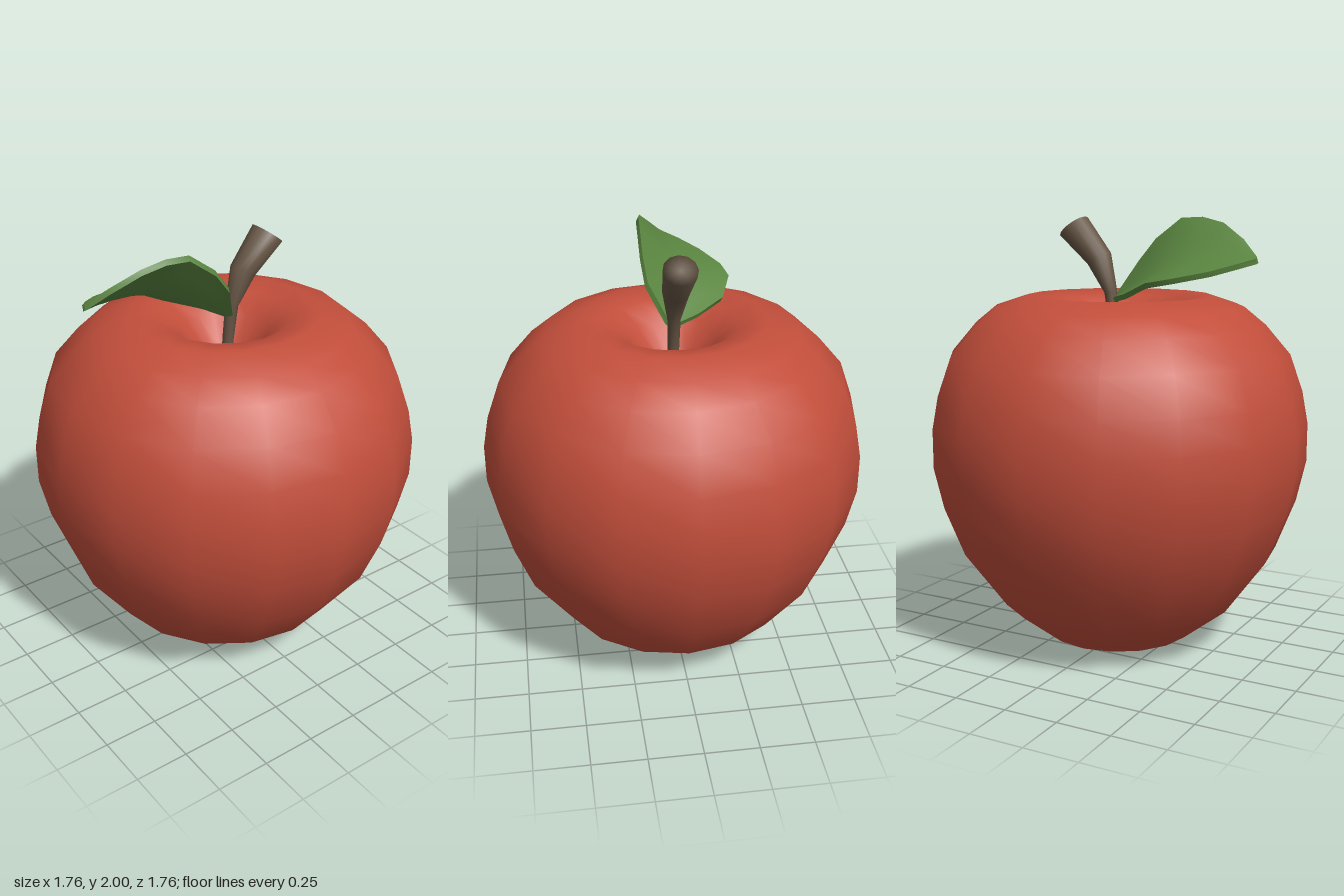
import * as THREE from 'three';
import { mergeVertices, toCreasedNormals } from 'three/addons/utils/BufferGeometryUtils.js';

const skin = new THREE.MeshStandardMaterial({ name: 'red skin', color: 0xc24e3b });
const bark = new THREE.MeshStandardMaterial({ name: 'brown stem', color: 0x655443 });
const green = new THREE.MeshStandardMaterial({ name: 'green leaf', color: 0x5a8540 });

// Closed skin over a list of equal-length loops, with a fan at both ends
function loft(rings) {
  const n = rings[0].length, last = rings.length - 1;
  const points = rings.flat(), index = [];
  const centre = (ring) => ring.reduce((s, p) => s.add(p), new THREE.Vector3()).divideScalar(n);
  points.push(centre(rings[0]), centre(rings[last]));
  const start = points.length - 2, end = points.length - 1;
  for (let j = 0; j < n; j++) {
    const k = (j + 1) % n;
    for (let i = 0; i < last; i++) {
      const a = i * n + j, b = i * n + k;
      index.push(a, a + n, b, b, a + n, b + n);
    }
    index.push(start, j, k, end, last * n + k, last * n + j);
  }
  const g = new THREE.BufferGeometry().setFromPoints(points);
  g.setIndex(index);
  g.computeVertexNormals();
  return g;
}

// Lathed body with a deep top dimple and a lobed base
function bodyGeometry() {
  const profile = [
    [0, 0.14], [0.06, 0.1], [0.14, 0.035], [0.24, 0], [0.35, 0.04], [0.555, 0.2],
    [0.745, 0.46], [0.835, 0.69], [0.878, 0.88], [0.878, 1.06], [0.85, 1.21],
    [0.79, 1.38], [0.675, 1.515], [0.575, 1.597], [0.425, 1.647], [0.3, 1.622],
    [0.2, 1.55], [0.1, 1.43], [0, 1.36],
  ].map(([r, y]) => new THREE.Vector2(r, y));
  let g = new THREE.LatheGeometry(profile, 16);
  g.deleteAttribute('uv');
  g.deleteAttribute('normal');
  g = mergeVertices(g);
  const p = g.attributes.position;
  for (let i = 0; i < p.count; i++) {
    const x = p.getX(i), y = p.getY(i), z = p.getZ(i), r = Math.hypot(x, z);
    if (y < 0.09 && r < 0.3) {
      const wave = 0.5 - 0.5 * Math.cos(5 * Math.atan2(x, z));
      p.setY(i, y + 0.045 * wave);
    }
  }
  g.computeVertexNormals();
  return g;
}

// Bent stem, widening to a tilted end: [y, z, radius, tilt]
function stemGeometry() {
  const rows = [
    [1.33, -0.02, 0.026, 0], [1.5, -0.025, 0.026, 0.05], [1.66, -0.045, 0.03, 0.25],
    [1.81, -0.105, 0.06, 0.5], [1.955, -0.24, 0.077, 0.65],
  ];
  return loft(rows.map(([y, z, r, tilt]) => Array.from({ length: 12 }, (_, j) => {
    const a = j / 12 * Math.PI * 2, s = r * Math.sin(a);
    return new THREE.Vector3(r * Math.cos(a), y + s * Math.sin(tilt), z + s * Math.cos(tilt));
  })));
}

// Cupped leaf, sampled across from left edge, through the midrib, to right edge
function leafGeometry() {
  // [left xyz, midrib xyz, right xyz]
  const rows = [
    [-0.03, 1.62, -0.01, 0, 1.62, -0.02, 0.03, 1.64, -0.025],
    [-0.12, 1.635, 0.04, -0.01, 1.66, 0.04, 0.11, 1.79, 0.05],
    [-0.25, 1.66, 0.16, -0.04, 1.73, 0.15, 0.122, 1.89, 0.13],
    [-0.3, 1.715, 0.29, -0.06, 1.79, 0.28, 0.12, 1.985, 0.26],
    [-0.28, 1.735, 0.4, -0.06, 1.815, 0.39, 0.112, 1.99, 0.37],
    [-0.2, 1.765, 0.54, -0.05, 1.825, 0.52, 0.095, 1.965, 0.48],
    [-0.11, 1.795, 0.63, -0.04, 1.825, 0.62, 0.04, 1.895, 0.6],
    [-0.04, 1.815, 0.685, -0.03, 1.82, 0.69, -0.02, 1.825, 0.685],
  ];
  const offset = new THREE.Vector3(-0.45, 0.87, -0.1).multiplyScalar(0.013);
  const rings = rows.map((r) => {
    const [l, m, e] = [0, 3, 6].map((i) => new THREE.Vector3(r[i], r[i + 1], r[i + 2]));
    const curve = new THREE.CatmullRomCurve3([l, m, e]);
    const line = Array.from({ length: 7 }, (_, j) => curve.getPoint(j / 6));
    return [
      ...line.map((p) => p.clone().add(offset)),
      ...line.map((p) => p.clone().sub(offset)).reverse(),
    ];
  });
  return toCreasedNormals(loft(rings), 0.9);
}

export function createModel() {
  const model = new THREE.Group();
  model.name = 'apple';
  const add = (name, geometry, material) => {
    const mesh = new THREE.Mesh(geometry, material);
    mesh.name = name;
    model.add(mesh);
  };
  add('body', bodyGeometry(), skin);
  add('stem', stemGeometry(), bark);
  add('leaf', leafGeometry(), green);
  return model;
}
